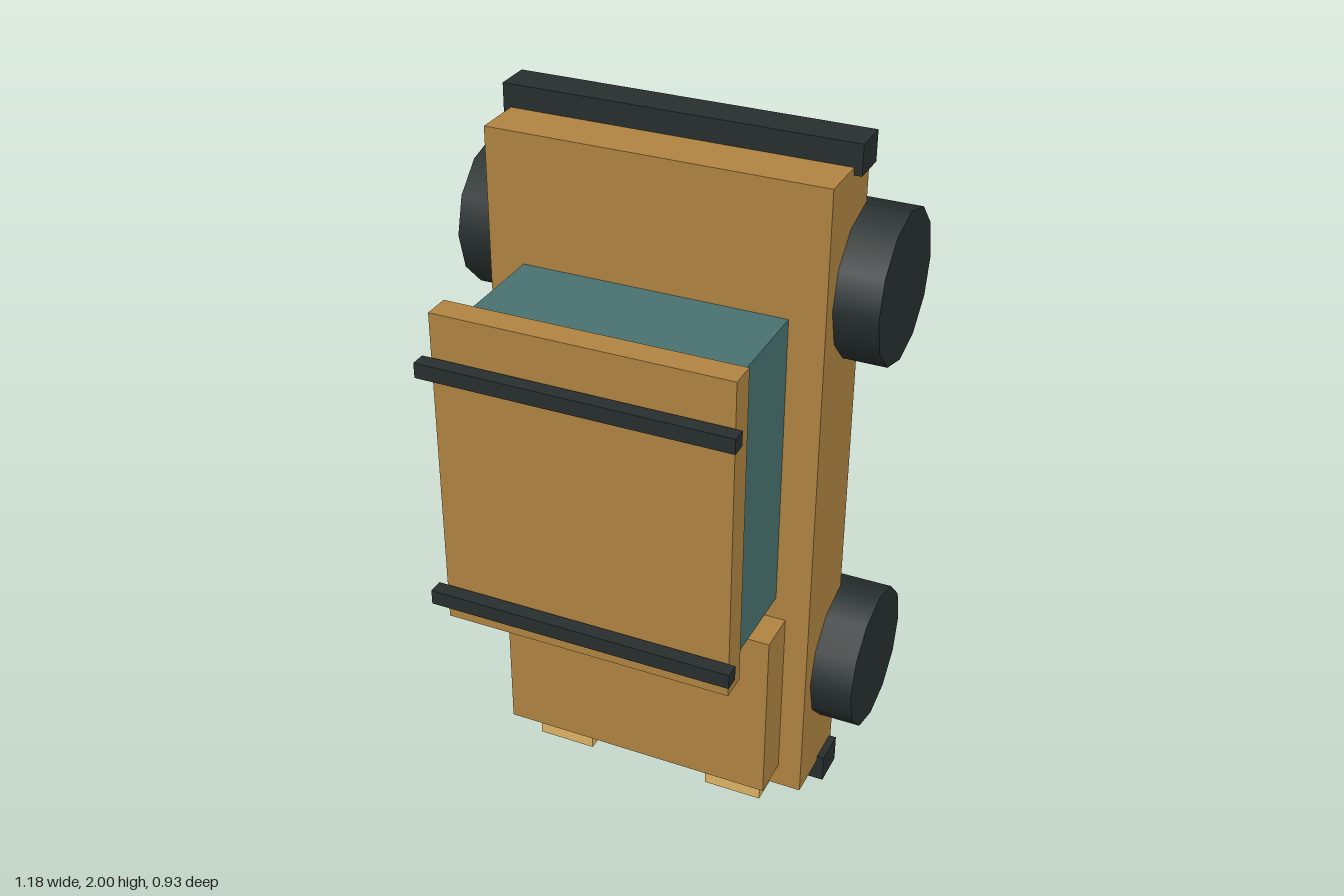
import * as THREE from 'three';

const paint = new THREE.MeshStandardMaterial({ color: 0xb08442 });
const glass = new THREE.MeshStandardMaterial({ color: 0x487270 });
const rubber = new THREE.MeshStandardMaterial({ color: 0x272f2e });
const lamp = new THREE.MeshStandardMaterial({ color: 0xdfb566 });

// Box given by its extents along each axis
function addBox(parent, name, material, [x0, x1], [y0, y1], [z0, z1]) {
  const mesh = new THREE.Mesh(new THREE.BoxGeometry(x1 - x0, y1 - y0, z1 - z0), material);
  mesh.position.set((x0 + x1) / 2, (y0 + y1) / 2, (z0 + z1) / 2);
  mesh.name = name;
  parent.add(mesh);
}

export function createModel() {
  const car = new THREE.Group();
  car.name = 'uprightCar';

  // Body, hood, cabin and roof; the car stands on its nose, roof towards +z
  addBox(car, 'body', paint, [-0.468, 0.468], [0.067, 1.937], [-0.265, -0.008]);
  addBox(car, 'hood', paint, [-0.4, 0.4], [0.137, 0.657], [-0.008, 0.112]);
  addBox(car, 'cabin', glass, [-0.37, 0.37], [0.723, 1.573], [-0.008, 0.336]);
  addBox(car, 'roof', paint, [-0.406, 0.406], [0.705, 1.62], [0.336, 0.411]);

  // Roof rack bars
  for (const y of [0.793, 1.48]) {
    addBox(car, 'roofBar', rubber, [-0.427, 0.427], [y - 0.021, y + 0.021], [0.419, 0.461]);
  }

  // Bumpers at nose and tail
  addBox(car, 'frontBumper', rubber, [-0.489, 0.489], [0, 0.083], [-0.254, -0.15]);
  addBox(car, 'rearBumper', rubber, [-0.489, 0.489], [1.917, 2], [-0.254, -0.15]);

  // Headlights and wheels, mirrored left and right
  const wheelGeometry = new THREE.CylinderGeometry(0.207, 0.207, 0.158, 12).rotateZ(Math.PI / 2);
  for (const side of [-1, 1]) {
    const x = side * 0.27;
    addBox(car, 'headlight', lamp, [x - 0.086, x + 0.086], [0.016, 0.067], [-0.077, 0.021]);
    for (const y of [0.419, 1.594]) {
      const wheel = new THREE.Mesh(wheelGeometry, rubber);
      wheel.position.set(side * 0.509, y, -0.257);
      wheel.name = 'wheel';
      car.add(wheel);
    }
  }
  return car;
}
